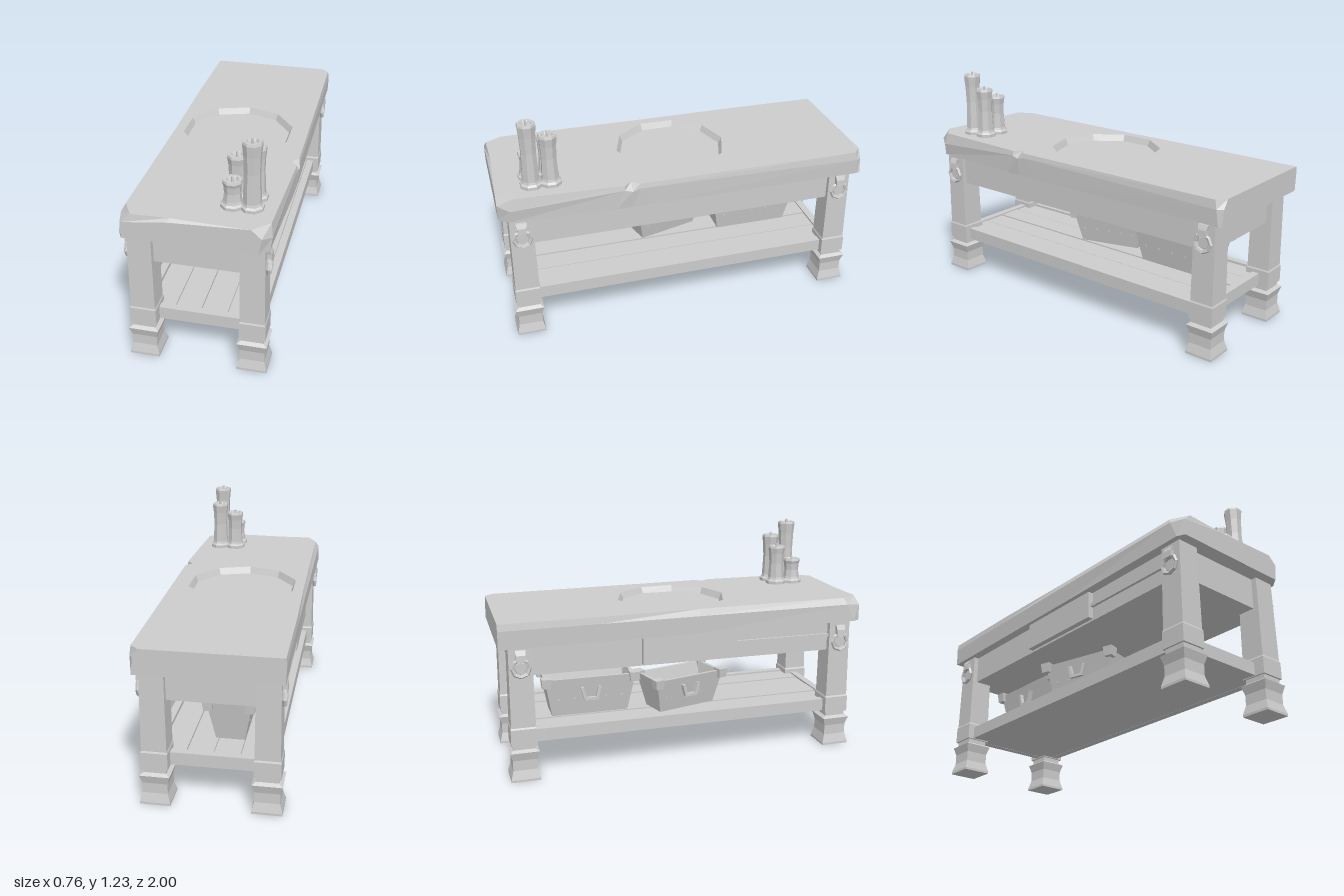
import * as THREE from 'three';

const stone = new THREE.MeshStandardMaterial({ color: 0xcccccc });
stone.name = 'grey';

// Flat-shaded mesh from any geometry
function part(parent, name, geo, x = 0, y = 0, z = 0) {
  const g = geo.index ? geo.toNonIndexed() : geo;
  g.computeVertexNormals();
  const m = new THREE.Mesh(g, stone);
  m.name = name;
  m.position.set(x, y, z);
  parent.add(m);
  return m;
}

function box(parent, name, x0, x1, y0, y1, z0, z1) {
  return part(parent, name, new THREE.BoxGeometry(x1 - x0, y1 - y0, z1 - z0),
    (x0 + x1) / 2, (y0 + y1) / 2, (z0 + z1) / 2);
}

function geometryFrom(points) {
  const g = new THREE.BufferGeometry();
  g.setAttribute('position', new THREE.Float32BufferAttribute(points.flat(), 3));
  return g;
}

// Wall between two loops, counter-clockwise from above
function wall(out, a, b) {
  a.forEach((p, i) => {
    const j = (i + 1) % a.length;
    out.push(p, a[j], b[j], p, b[j], b[i]);
  });
}

// Flat cap over a loop, with an optional hole
function cap(out, loop, hole, up) {
  const flat = (l) => l.map((p) => new THREE.Vector2(p[0], -p[2]));
  const holeLoop = hole ? [...hole].reverse() : [];
  const all = [...loop, ...holeLoop];
  const faces = THREE.ShapeUtils.triangulateShape(flat(loop), hole ? [flat(holeLoop)] : []);
  for (const [a, b, c] of faces) {
    if (up) out.push(all[a], all[b], all[c]);
    else out.push(all[a], all[c], all[b]);
  }
}

// Rectangular sections [halfX, halfZ, y] joined in order
function loft(sections) {
  const loops = sections.map(([hx, hz, y]) =>
    [[hx, y, hz], [hx, y, -hz], [-hx, y, -hz], [-hx, y, hz]]);
  const out = [];
  cap(out, loops[0], null, false);
  for (let i = 1; i < loops.length; i++) wall(out, loops[i - 1], loops[i]);
  cap(out, loops[loops.length - 1], null, true);
  return geometryFrom(out);
}

function polygonLoop(n, r, cx, cz, y) {
  return Array.from({ length: n }, (_, i) => {
    const a = Math.PI / 2 + (i * 2 * Math.PI) / n;
    return [cx + r * Math.cos(a), y, cz - r * Math.sin(a)];
  });
}

// Chipped slab with a ten-sided recess
function addTabletop(group) {
  // Each row: top x, z; middle x, z, y; bottom x, z
  const rim = [
    [0.27, 1.0, 0.32, 1.0, 0.82, 0.305, 1.0],
    [0.35, 0.92, 0.36, 0.94, 0.80, 0.35, 0.95],
    [0.37, 0.35, 0.375, 0.35, 0.84, 0.37, 0.4],
    [0.335, 0.31, 0.38, 0.31, 0.83, 0.37, 0.31],
    [0.37, 0.27, 0.375, 0.27, 0.84, 0.37, 0.2],
    [0.355, -0.96, 0.36, -0.97, 0.82, 0.355, -0.98],
    [0.31, -1.0, 0.34, -1.0, 0.82, 0.35, -1.0],
    [-0.375, -1.0, -0.38, -1.0, 0.83, -0.375, -1.0],
    [-0.375, -0.48, -0.38, -0.48, 0.83, -0.375, -0.48],
    [-0.365, 0.06, -0.38, 0.06, 0.83, -0.375, 0.06],
    [-0.36, 0.9, -0.38, 0.92, 0.83, -0.38, 0.96],
    [-0.31, 0.99, -0.36, 1.0, 0.82, -0.36, 1.0],
    [-0.12, 0.985, -0.12, 1.0, 0.85, -0.12, 1.0],
  ];
  const sag = (z) => 0.006 * (z - 1);
  const top = rim.map((r) => [r[0], 0.866 + sag(r[1]), r[1]]);
  const mid = rim.map((r) => [r[2], r[4] + sag(r[3]), r[3]]);
  const low = rim.map((r) => [r[5], 0.733 + sag(r[6]), r[6]]);
  const lip = polygonLoop(10, 0.305, -0.02, 0, 0).map(([x, , z]) => [x, 0.866 + sag(z), z]);
  const pit = polygonLoop(10, 0.288, -0.02, 0, 0.825);
  const out = [];
  cap(out, low, null, false);
  wall(out, low, mid);
  wall(out, mid, top);
  cap(out, top, lip, true);
  wall(out, lip, pit);
  cap(out, pit, null, true);
  part(group, 'tabletop', geometryFrom(out));
}

// Square leg with collar, flared foot and a hanging ring on the outer side
function addLeg(group, x, z) {
  const leg = new THREE.Group();
  leg.name = 'leg';
  leg.position.set(x, 0, z);
  const side = Math.sign(x);
  part(leg, 'post', loft([[0.064, 0.064, 0.28], [0.06, 0.06, 0.76]]));
  part(leg, 'collar', loft([[0.068, 0.068, 0.195], [0.068, 0.068, 0.285], [0.061, 0.061, 0.3]]));
  part(leg, 'foot', loft([
    [0.077, 0.077, 0.0], [0.077, 0.077, 0.012], [0.064, 0.064, 0.06], [0.064, 0.064, 0.115],
    [0.077, 0.077, 0.16], [0.058, 0.058, 0.172], [0.058, 0.058, 0.2],
  ]));
  const ring = part(leg, 'ring', new THREE.TorusGeometry(0.045, 0.011, 5, 8), side * 0.071, 0.615, 0);
  ring.rotation.y = Math.PI / 2;
  const boss = part(leg, 'ringBoss', new THREE.CylinderGeometry(0.03, 0.036, 0.016, 8), side * 0.062, 0.615, 0);
  boss.rotation.z = -side * Math.PI / 2;
  part(leg, 'ringBracket', loft([[0.026, 0.023, 0.65], [0.024, 0.023, 0.685], [0.013, 0.028, 0.71]]), side * 0.06);
  group.add(leg);
}

// Tapered open crate with corner caps, rivets and a handle
function addCrate(group, x, z, turn, height, halfLength) {
  const crate = new THREE.Group();
  crate.name = 'crate';
  crate.position.set(x, 0.262, z);
  crate.rotation.y = turn;
  const hx = 0.115, hz = halfLength, t = 0.018;
  part(crate, 'crateBody', loft([
    [hx - 0.04, hz - 0.04, 0], [hx, hz, height],
    [hx - t, hz - t, height], [hx - 0.04 - t, hz - 0.04 - t, 0.02],
  ]));
  for (const sx of [-1, 1]) {
    for (const sz of [-1, 1]) {
      part(crate, 'cornerCap', loft([[0.022, 0.022, -0.04], [0.028, 0.028, 0.012]]),
        sx * (hx - 0.008), height, sz * (hz - 0.008));
    }
    for (let i = -2; i <= 2; i++) {
      part(crate, 'rivet', new THREE.BoxGeometry(0.008, 0.008, 0.008),
        sx * (hx - 0.022), height * 0.45, i * hz * 0.35);
    }
  }
  for (const s of [-1, 1]) {
    const tab = part(crate, 'handleTab', new THREE.BoxGeometry(0.02, 0.07, 0.016), -hx, height * 0.6, s * 0.04);
    tab.rotation.x = s * 0.25;
  }
  part(crate, 'handleBar', new THREE.BoxGeometry(0.016, 0.016, 0.08), -hx - 0.002, height * 0.45, 0);
  group.add(crate);
}

// Waisted eight-sided candle on a base, with a hollow top and wick
function addCandle(group, x, z, topY) {
  const h = topY - 0.863;
  const profile = [
    [0, 0], [0.06, 0], [0.06, 0.018], [0.05, 0.027], [0.046, 0.04], [0.041, h * 0.55],
    [0.044, h * 0.8], [0.05, h - 0.012], [0.046, h], [0.032, h], [0.024, h - 0.014], [0, h - 0.014],
  ].map(([r, y]) => new THREE.Vector2(r, y));
  part(group, 'candle', new THREE.LatheGeometry(profile, 8, Math.PI / 8), x, 0.863, z);
  part(group, 'wick', new THREE.CylinderGeometry(0.006, 0.008, 0.03, 5), x, topY - 0.001, z);
}

export function createModel() {
  const group = new THREE.Group();
  group.name = 'table';
  addTabletop(group);
  for (const x of [-0.292, 0.268]) for (const z of [-0.89, 0.89]) addLeg(group, x, z);

  // Apron with a drawer front on one long side
  box(group, 'apron', -0.325, 0.305, 0.563, 0.735, -0.92, 0.92);
  box(group, 'drawerFront', -0.355, -0.32, 0.575, 0.725, -0.25, 0.28);
  box(group, 'drawerRail', -0.34, -0.32, 0.64, 0.66, 0.28, 0.84);

  // Lower shelf: base, raised rim and planks
  box(group, 'shelfBase', -0.32, 0.298, 0.2, 0.246, -0.88, 0.88);
  for (const x of [-0.325, 0.263]) box(group, 'shelfRail', x, x + 0.04, 0.199, 0.267, -0.87, 0.87);
  for (const z of [-0.9, 0.86]) box(group, 'shelfEnd', -0.29, 0.27, 0.199, 0.267, z, z + 0.04);
  for (let i = 0; i < 4; i++) {
    const x = -0.28 + i * 0.136;
    box(group, 'plank', x, x + 0.128, 0.23, 0.256 + (i % 2) * 0.003, -0.86, 0.86);
  }

  addCrate(group, -0.13, 0.02, 0.27, 0.19, 0.215);
  addCrate(group, -0.07, -0.5, 0, 0.216, 0.25);

  addCandle(group, 0.14, 0.81, 1.01);
  addCandle(group, 0.235, 0.81, 1.22);
  addCandle(group, 0.14, 0.71, 1.09);
  addCandle(group, 0.235, 0.71, 1.145);
  return group;
}
